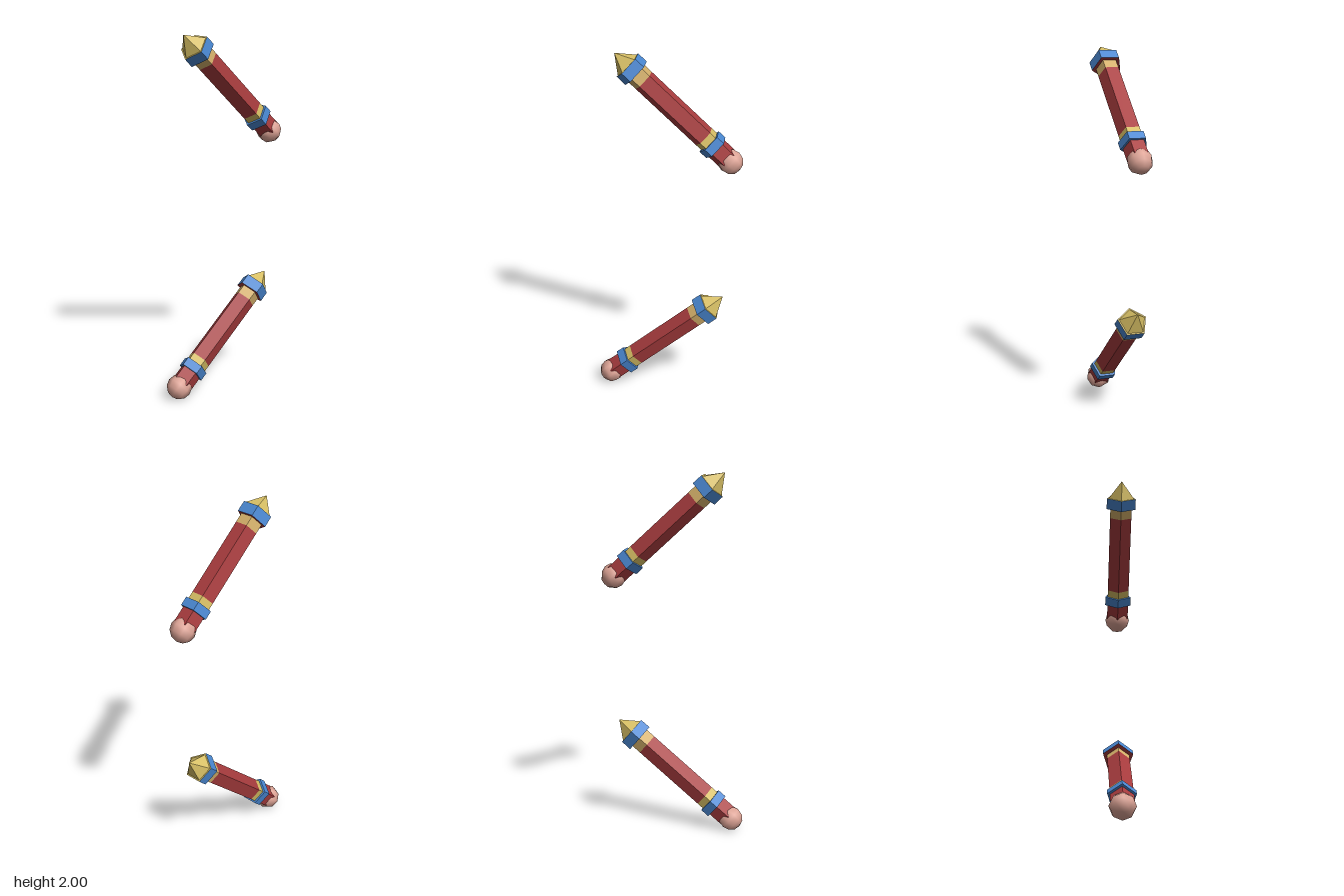
import * as THREE from 'three';

const mat = (name, color) => {
  const m = new THREE.MeshStandardMaterial({ color });
  m.name = name;
  return m;
};

export function createModel() {
  const red = mat('red', 0xa83c3e);
  const gold = mat('gold', 0xd6be64);
  const tan = mat('tan', 0xd4b06a);
  const blue = mat('blue', 0x4a88d2);
  const pink = mat('pink', 0xe0a698);

  // Five-sided prism between two distances behind the tip, ridge towards -x
  function prism(name, start, end, rTop, rBottom, material) {
    const geo = new THREE.CylinderGeometry(rTop, rBottom, end - start, 5, 1, false, -Math.PI / 2).toNonIndexed();
    geo.computeVertexNormals();
    const mesh = new THREE.Mesh(geo, material);
    mesh.name = name;
    mesh.position.y = -(start + end) / 2;
    return mesh;
  }

  // One pointed rod, its tip at the local origin and its axis along y
  function rod(name, x, y, angle) {
    const g = new THREE.Group();
    g.name = name;
    const r = 0.064;
    g.add(
      prism('point', 0, 0.095, 0, 0.077, gold),
      prism('collar', 0.095, 0.156, 0.086, 0.087, [blue, gold, red]),
      prism('upperBand', 0.15, 0.21, r, r, tan),
      prism('shaft', 0.21, 0.645, r, r, red),
      prism('lowerBand', 0.645, 0.69, r, r, gold),
      prism('ring', 0.685, 0.735, 0.078, 0.078, blue),
      prism('handle', 0.69, 0.82, r, r, red)
    );
    // Rounded end knob
    const knob = new THREE.Mesh(new THREE.SphereGeometry(0.07, 8, 6), pink);
    knob.name = 'knob';
    knob.position.y = -0.838;
    g.add(knob);
    g.position.set(x, y, 0);
    g.rotation.z = angle;
    return g;
  }

  const model = new THREE.Group();
  model.name = 'rodPair';
  model.add(
    rod('upperRod', -0.288, 2.0, 0.821),
    rod('lowerRod', 0.303, 0.605, -0.875)
  );
  return model;
}
